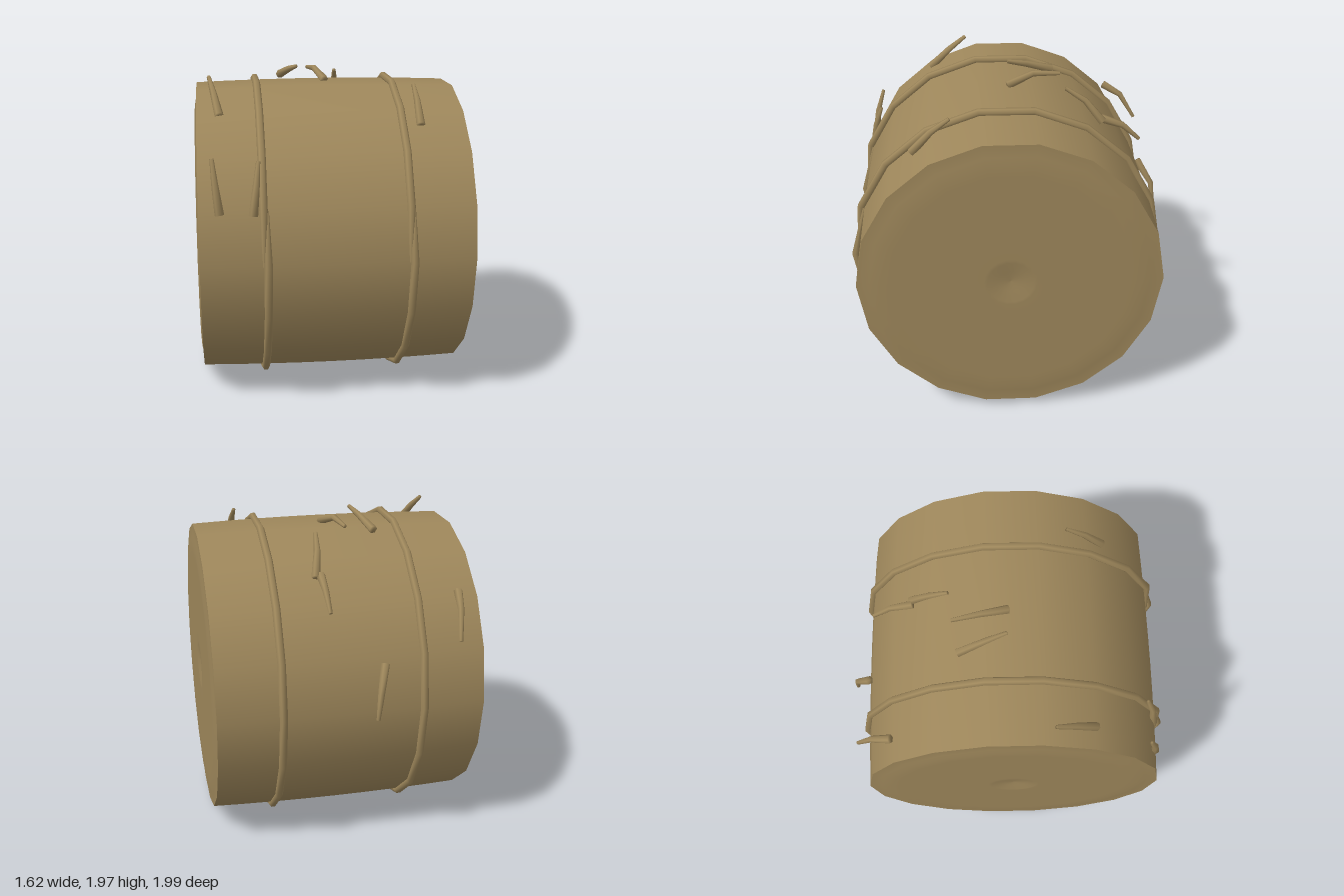
import * as THREE from 'three';

const hay = new THREE.MeshStandardMaterial({ color: 0x9e875b });
hay.name = 'hay';

const SIDES = 18;
const CY = 0.963, CZ = 0.03; // axis of the bale, running along x

// Tapered tube through points, with one radius per point and closed ends
function sweep(points, radii, sides) {
  const pos = [], index = [], n = points.length;
  points.forEach((p, i) => {
    const t = points[Math.min(i + 1, n - 1)].clone().sub(points[Math.max(i - 1, 0)]).normalize();
    const a = new THREE.Vector3(1, 0, 0);
    a.addScaledVector(t, -a.dot(t)).normalize();
    const b = t.clone().cross(a);
    for (let j = 0; j < sides; j++) {
      const w = (j / sides) * Math.PI * 2;
      const v = p.clone()
        .addScaledVector(a, Math.cos(w) * radii[i])
        .addScaledVector(b, Math.sin(w) * radii[i]);
      pos.push(v.x, v.y, v.z);
    }
  });
  const start = n * sides, end = start + 1, last = (n - 1) * sides;
  pos.push(...points[0].toArray(), ...points[n - 1].toArray());
  for (let j = 0; j < sides; j++) {
    const k = (j + 1) % sides;
    for (let i = 0; i < n - 1; i++) {
      const r = i * sides, s = r + sides;
      index.push(r + j, r + k, s + k, r + j, s + k, s + j);
    }
    index.push(start, k, j, end, last + j, last + k);
  }
  const g = new THREE.BufferGeometry();
  g.setAttribute('position', new THREE.Float32BufferAttribute(pos, 3));
  g.setIndex(index);
  g.computeVertexNormals();
  return g;
}

function add(group, geometry, name) {
  const m = new THREE.Mesh(geometry, hay);
  m.name = name;
  group.add(m);
  return m;
}

// Lathe whose axis lies along x; profile points are [radius, x]
function latheX(profile) {
  const g = new THREE.LatheGeometry(profile.map(([r, x]) => new THREE.Vector2(r, x)), SIDES);
  g.rotateZ(-Math.PI / 2);
  g.translate(0, CY, CZ);
  return g;
}

// Rope wound once around the bale, both thin ends overlapping at the front
function rope(x0, x1) {
  const pts = [], radii = [];
  for (let k = 0; k <= SIDES + 1; k++) {
    const a = (k / SIDES) * Math.PI * 2;
    const tip = k === 0 || k === SIDES + 1;
    const r = tip ? 0.925 : 0.943;
    pts.push(new THREE.Vector3(
      x0 + ((x1 - x0) * k) / SIDES, CY + Math.sin(a) * r, CZ + 0.005 + Math.cos(a) * r));
    radii.push(tip ? 0.008 : 0.024);
  }
  return sweep(pts, radii, 6);
}

// Loose straws, each from thin tip through a bend to thick end
const STRAWS = [
  [[-0.72, 1.95, 0.26], [-0.695, 1.87, 0.37], [-0.665, 1.755, 0.5]],
  [[0.515, 1.9, 0.37], [0.518, 1.82, 0.48], [0.52, 1.695, 0.595]],
  [[-0.715, 1.57, 0.835], [-0.7, 1.42, 0.88], [-0.68, 1.26, 0.9]],
  [[-0.455, 1.55, 0.835], [-0.47, 1.42, 0.88], [-0.49, 1.25, 0.905]],
  [[-0.17, 1.975, 0], [-0.205, 1.945, -0.12], [-0.255, 1.89, -0.285]],
  [[-0.07, 1.93, -0.32], [-0.04, 1.945, -0.15], [0.01, 1.89, 0.01]],
  [[0.125, 1.56, -0.81], [0.13, 1.66, -0.7], [0.13, 1.71, -0.56]],
  [[0.115, 1.905, -0.34], [0.13, 1.83, -0.46], [0.16, 1.7, -0.57]],
  [[-0.625, 1.37, -0.91], [-0.65, 1.53, -0.81], [-0.67, 1.6, -0.69]],
  [[-0.12, 0.95, -0.985], [-0.14, 1.1, -0.965], [-0.185, 1.25, -0.87]],
];

export function createModel() {
  const model = new THREE.Group();
  model.name = 'hayBale';

  // Slightly barrelled side
  const side = [];
  for (let i = 0; i <= 8; i++) {
    const u = i / 4 - 1;
    side.push([0.932 - 0.016 * u * u, 0.8 * u]);
  }
  add(model, latheX(side), 'baleSide');

  // Gently rippled ends with a dimple in the middle
  const cap = [[0.916, 0.8], [0.84, 0.801], [0.8, 0.812]];
  for (let r = 0.72; r > 0.15; r -= 0.07) {
    cap.push([r, cap.length % 2 ? 0.809 : 0.812]);
  }
  cap.push([0.14, 0.811], [0.07, 0.798], [0, 0.792]);
  add(model, latheX(cap), 'leftEnd');
  add(model, latheX(cap.map(([r, x]) => [r, -x]).reverse()), 'rightEnd');

  add(model, rope(-0.435, -0.412), 'rightRope');
  add(model, rope(0.408, 0.428), 'leftRope');

  const straws = new THREE.Group();
  straws.name = 'looseStraws';
  STRAWS.forEach((s, i) => {
    const pts = s.map((p) => new THREE.Vector3(...p));
    add(straws, sweep(pts, [0.012, 0.02, 0.027], 6), 'straw' + (i + 1));
  });
  model.add(straws);
  return model;
}
